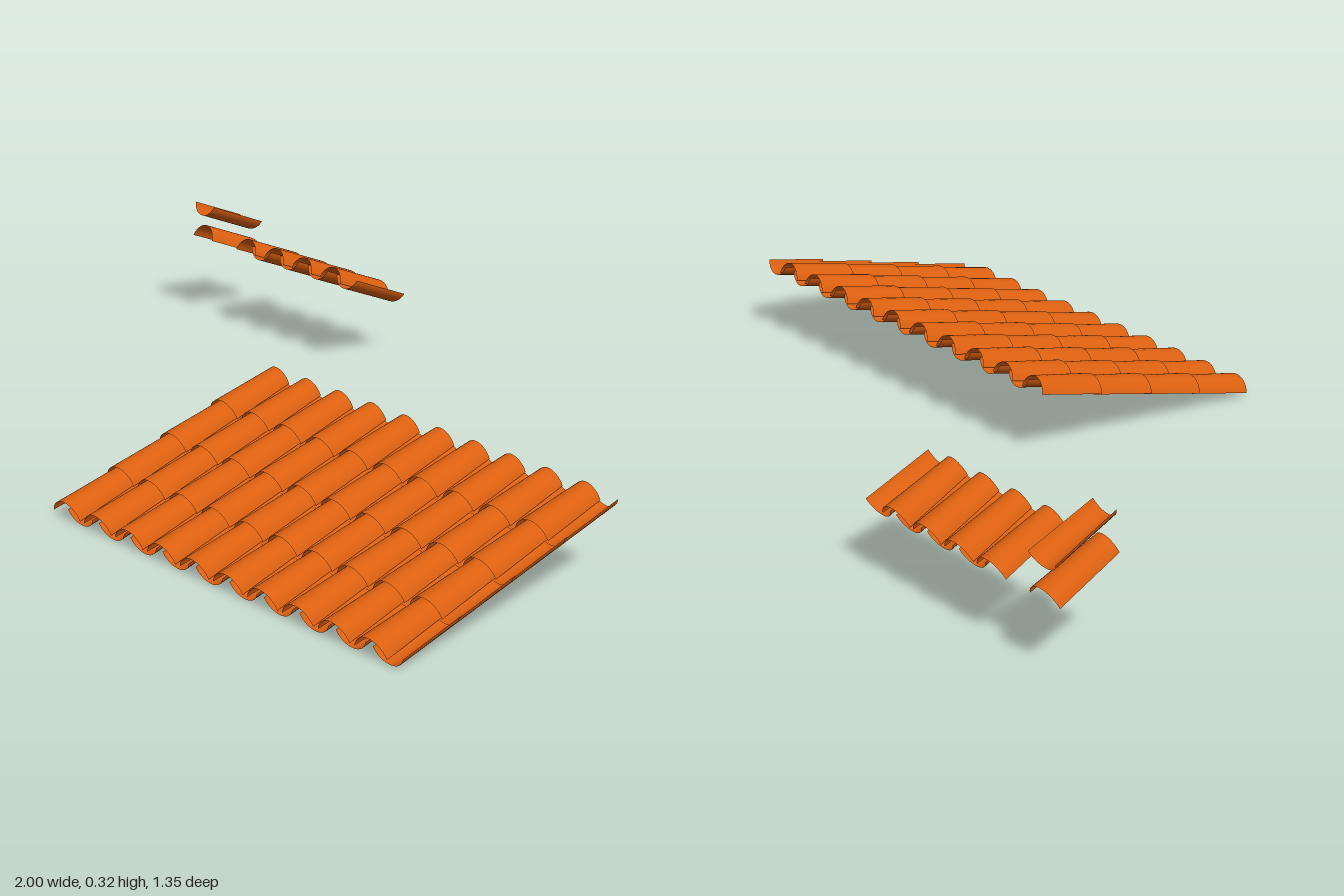
import * as THREE from 'three';

const LENGTH = 0.183;
const material = new THREE.MeshStandardMaterial({ color: 0xdb6010, side: THREE.DoubleSide });

// Tapered barrel sheet: wide end at z = 0, narrow end uphill at z = -LENGTH
function tileGeometry(wide, narrow, depth, base, isPan) {
  const geo = new THREE.PlaneGeometry(1, 1, 14, 1);
  const pos = geo.attributes.position;
  const maxAngle = 1.3;
  for (let i = 0; i < pos.count; i++) {
    const a = pos.getX(i) * 2 * maxAngle;
    const v = pos.getY(i) + 0.5;
    const half = THREE.MathUtils.lerp(wide, narrow, v);
    const rise = (Math.cos(a) - Math.cos(maxAngle)) / (1 - Math.cos(maxAngle));
    pos.setXYZ(i,
      half * Math.sin(a) / Math.sin(maxAngle),
      base + depth * (isPan ? 1 - rise : rise),
      -LENGTH * v);
  }
  geo.computeVertexNormals();
  return geo;
}

const coverGeometry = tileGeometry(0.048, 0.038, 0.036, 0.009, false);
const panGeometry = tileGeometry(0.044, 0.037, 0.03, 0, true);

function addTile(parent, geometry, name, x) {
  const tile = new THREE.Mesh(geometry, material);
  tile.name = name;
  tile.position.x = x;
  parent.add(tile);
}

// Course of alternating cover and pan tiles; side = -1 puts each pan at -x of its cover
function tileCourse(name, count, start, pitch, side) {
  const course = new THREE.Group();
  course.name = name;
  for (let i = 0; i < count; i++) {
    const x = start + side * i * pitch;
    addTile(course, coverGeometry, 'coverTile', x);
    addTile(course, panGeometry, 'panTile', x + side * pitch / 2);
  }
  return course;
}

// Tilts a part so it descends towards the front, or towards the back when turned
function place(part, x, y, z, slope, turned) {
  part.rotation.set(slope, turned ? Math.PI : 0, 0, 'YXZ');
  part.position.set(x, y, z);
  return part;
}

export function createModel() {
  const model = new THREE.Group();
  model.name = 'roofTiles';

  // Roof panel of four overlapping courses
  const roof = new THREE.Group();
  roof.name = 'roofPanel';
  for (let row = 0; row < 4; row++) {
    const course = tileCourse('roofCourse', 10, -0.103, 0.111, 1);
    roof.add(place(course, 0, 0.0413 * row, 0.665 - 0.161 * row, 0.227, false));
  }
  model.add(roof);

  // Short single course facing the back
  const strip = tileCourse('tileStrip', 4, 0.778, 0.109, -1);
  model.add(place(strip, 0, 0.148, -0.66, 0.41, true));

  // Loose cover tile with a loose pan tile above it
  const cover = new THREE.Group();
  cover.name = 'looseCover';
  addTile(cover, coverGeometry, 'coverTile', 0);
  model.add(place(cover, -0.952, 0.148, -0.66, 0.41, true));

  const pan = new THREE.Group();
  pan.name = 'loosePan';
  addTile(pan, panGeometry, 'panTile', 0);
  model.add(place(pan, -0.945, 0.224, -0.655, 0.41, true));

  return model;
}
